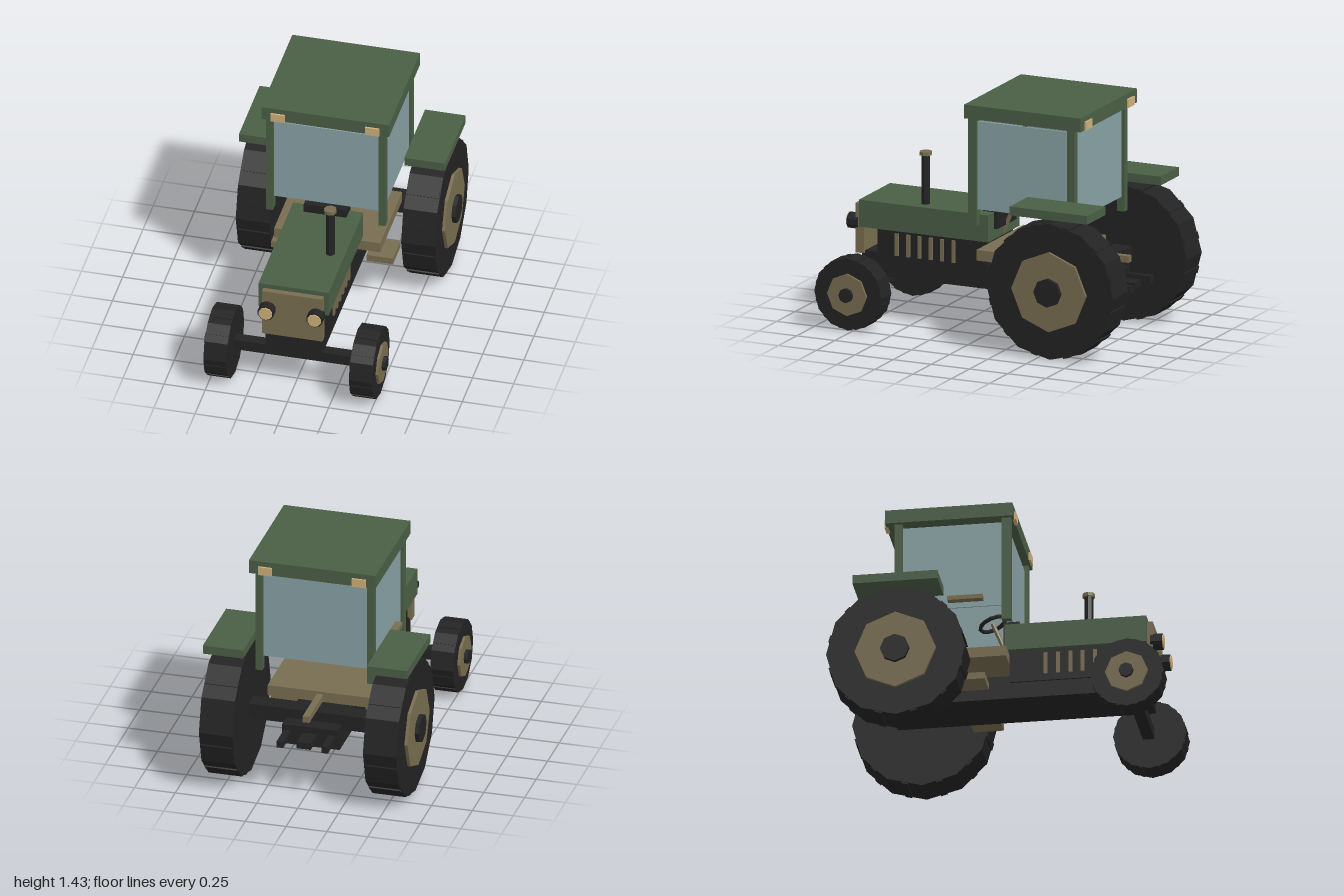
import * as THREE from 'three';

const flat = (name, color) => {
  const m = new THREE.MeshStandardMaterial({ color, flatShading: true });
  m.name = name;
  return m;
};

export function createModel() {
  const green = flat('green paint', 0x4a5e45);
  const tan = flat('tan metal', 0x786d50);
  const dark = flat('dark rubber and iron', 0x232323);
  const glass = flat('window glass', 0x88a1a4);
  const lamp = flat('lamp lens', 0xcfb07a);

  const model = new THREE.Group();
  model.name = 'tractor';

  const add = (name, geo, mat, parent = model) => {
    const mesh = new THREE.Mesh(geo, mat);
    mesh.name = name;
    parent.add(mesh);
    return mesh;
  };
  // box given by its extents on each axis
  const box = (name, mat, [x0, x1], [y0, y1], [z0, z1], parent) => {
    const m = add(name, new THREE.BoxGeometry(x1 - x0, y1 - y0, z1 - z0), mat, parent);
    m.position.set((x0 + x1) / 2, (y0 + y1) / 2, (z0 + z1) / 2);
    return m;
  };
  // the same box on both sides
  const pair = (name, mat, [x0, x1], y, z) => {
    box(name, mat, [x0, x1], y, z);
    box(name, mat, [-x1, -x0], y, z);
  };

  // wheel along x, outer face toward +x
  const wheel = (name, side, [x0, x1], y, z, r, hub, cap) => {
    const g = new THREE.Group();
    g.name = name;
    const disc = (part, mat, radius, a, b, sides) => {
      const geo = new THREE.CylinderGeometry(radius, radius, b - a, sides);
      geo.rotateZ(-Math.PI / 2);
      add(part, geo, mat, g).position.x = (a + b) / 2;
    };
    const mid = (x0 + x1) / 2;
    disc('tyre', dark, r, x0, x1, 12);
    disc('rim', tan, hub.r, mid, hub.x, 8);
    disc('hubCap', dark, cap.r, mid, cap.x, 8);
    // tread bars in the middle of each tyre face
    for (let i = 0; i < 12; i++) {
      const a = (i + 0.5) * Math.PI / 6;
      const lug = add('treadBar', new THREE.BoxGeometry((x1 - x0) * 0.96, r * 0.06, r * 0.1), dark, g);
      lug.position.set(mid, Math.cos(a) * r * 0.957, Math.sin(a) * r * 0.957);
      lug.rotation.x = a;
    }
    g.position.set(0, y, z);
    if (side < 0) g.rotation.y = Math.PI;
    model.add(g);
  };

  for (const s of [1, -1]) {
    wheel('rearWheel', s, [0.4, 0.605], 0.417, -0.585, 0.415, { r: 0.243, x: 0.624 }, { r: 0.087, x: 0.649 });
    wheel('frontWheel', s, [0.372, 0.512], 0.222, 0.78, 0.219, { r: 0.128, x: 0.528 }, { r: 0.044, x: 0.55 });
  }

  // chassis, engine and axles
  box('chassis', dark, [-0.17, 0.17], [0.26, 0.405], [-0.69, 0.85]);
  box('engineBlock', dark, [-0.18, 0.18], [0.36, 0.56], [0.03, 0.745]);
  box('frontAxle', dark, [-0.42, 0.42], [0.19, 0.255], [0.74, 0.81]);
  box('rearAxle', dark, [-0.42, 0.42], [0.37, 0.465], [-0.64, -0.53]);
  for (let i = 0; i < 6; i++) {
    const z = 0.615 - i * 0.074;
    pair('engineVent', tan, [0.175, 0.192], [0.4, 0.535], [z - 0.011, z + 0.011]);
  }

  // bonnet, grille and headlights
  box('bonnet', green, [-0.213, 0.213], [0.557, 0.722], [0.005, 0.85]);
  box('grille', tan, [-0.184, 0.184], [0.39, 0.693], [0.83, 0.885]);
  for (const x of [-0.148, 0.148]) {
    const rim = add('headlightHousing', new THREE.CylinderGeometry(0.05, 0.05, 0.07, 10), dark);
    rim.rotation.x = Math.PI / 2;
    rim.position.set(x, 0.575, 0.905);
    const lens = add('headlightLens', new THREE.CylinderGeometry(0.042, 0.042, 0.008, 10), lamp);
    lens.rotation.x = Math.PI / 2;
    lens.position.set(x, 0.575, 0.943);
  }

  // exhaust stack
  add('exhaustPipe', new THREE.CylinderGeometry(0.027, 0.027, 0.32, 8), dark).position.set(0.125, 0.865, 0.455);
  add('exhaustCap', new THREE.CylinderGeometry(0.038, 0.038, 0.022, 8), tan).position.set(0.125, 1.031, 0.455);

  // cab floor, steps and dashboard
  box('cabFloor', tan, [-0.322, 0.322], [0.47, 0.535], [-0.51, 0.03]);
  pair('step', tan, [0.21, 0.37], [0.308, 0.35], [-0.27, -0.09]);
  box('dashboard', dark, [-0.13, 0.13], [0.62, 0.775], [-0.015, 0.08]);

  // steering column and wheel
  const steering = new THREE.Group();
  steering.name = 'steering';
  add('steeringColumn', new THREE.CylinderGeometry(0.013, 0.013, 0.28, 8), tan, steering);
  const ring = add('steeringWheel', new THREE.TorusGeometry(0.08, 0.012, 6, 12), dark, steering);
  ring.rotation.x = Math.PI / 2;
  ring.position.y = 0.14;
  steering.rotation.x = -0.39;
  steering.position.set(0, 0.7, -0.045);
  model.add(steering);

  // cab posts, panes and roof
  for (const [z0, z1] of [[0.01, 0.065], [-0.63, -0.582]])
    pair('cabPost', green, [0.32, 0.363], [0.69, 1.35], [z0, z1]);
  for (const z of [0.037, -0.606])
    box('endWindow', glass, [-0.322, 0.322], [0.778, 1.315], [z - 0.004, z + 0.004]);
  pair('sideWindow', glass, [0.337, 0.345], [0.79, 1.327], [-0.584, 0.012]);
  box('roof', green, [-0.388, 0.388], [1.348, 1.432], [-0.682, 0.078]);
  pair('frontWorkLight', lamp, [0.245, 0.33], [1.348, 1.4], [0.07, 0.09]);
  pair('rearWorkLight', lamp, [0.245, 0.33], [1.348, 1.4], [-0.694, -0.67]);
  box('doorHandle', tan, [-0.39, -0.345], [0.823, 0.85], [-0.31, -0.1]);

  // rear mudguards
  pair('mudguard', green, [0.379, 0.626], [0.86, 0.913], [-0.84, -0.333]);

  // rear hitch
  box('hitchBar', dark, [-0.168, 0.168], [0.33, 0.41], [-0.74, -0.68]);
  pair('hitchArm', dark, [0.117, 0.157], [0.335, 0.375], [-0.9, -0.72]);
  box('drawbar', dark, [-0.044, 0.044], [0.33, 0.37], [-0.87, -0.7]);
  box('topLink', tan, [-0.02, 0.02], [0.48, 0.52], [-0.82, -0.5]);

  return model;
}
